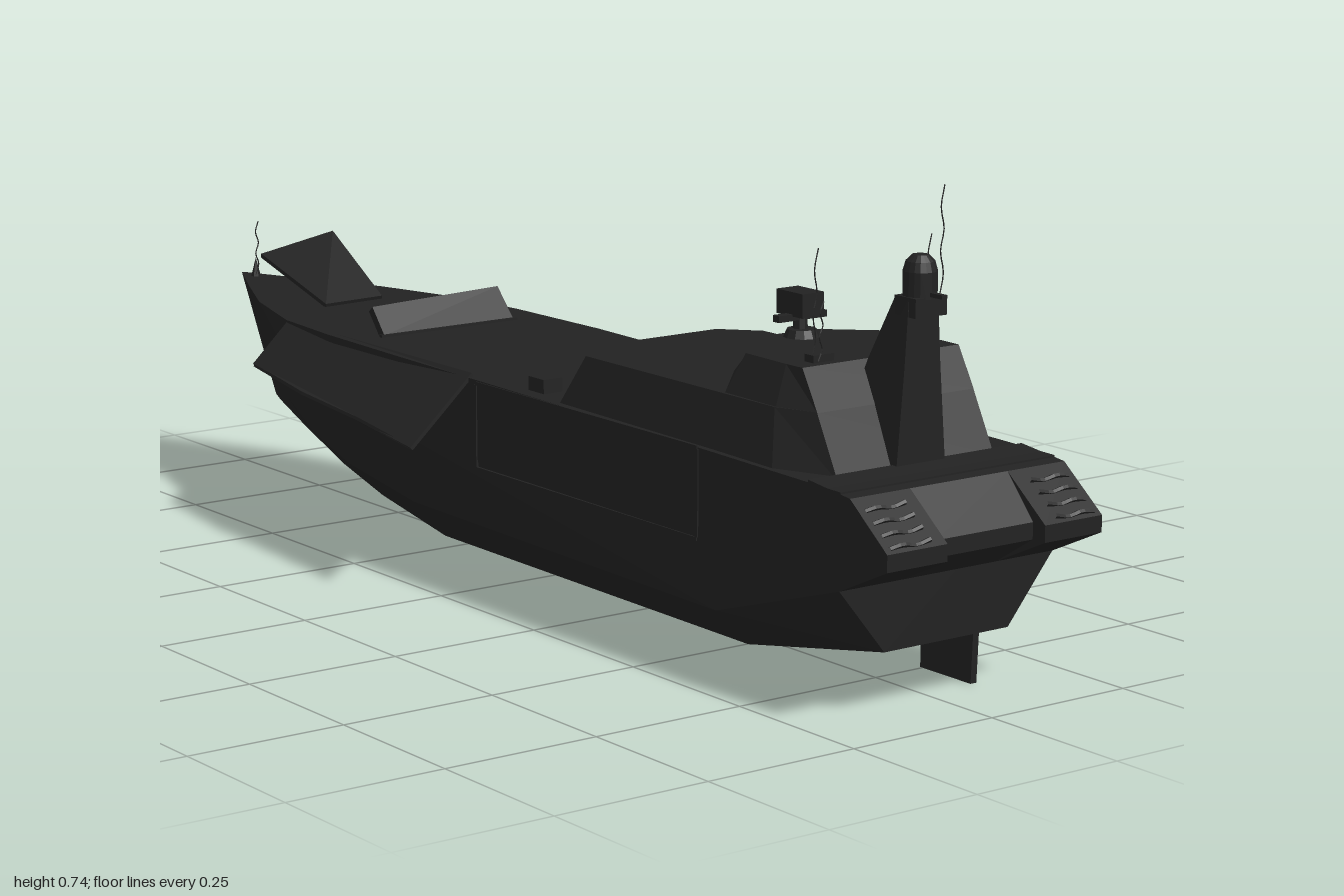
import * as THREE from 'three';

const hullBlack = new THREE.MeshStandardMaterial({ color: 0x222222, flatShading: true });
hullBlack.name = 'matte black';
const smoothBlack = hullBlack; // one colour throughout

const V = (a) => new THREE.Vector3(...a);

// Closed, hard-edged solid through equal-length rings of points
function loft(rings) {
  const tris = [];
  const n = rings[0].length;
  for (let r = 0; r < rings.length - 1; r++) {
    for (let i = 0; i < n; i++) {
      const j = (i + 1) % n, A = rings[r], B = rings[r + 1];
      tris.push([A[i], A[j], B[j]], [A[i], B[j], B[i]]);
    }
  }
  const first = rings[0], last = rings[rings.length - 1];
  for (let i = 1; i < n - 1; i++) {
    tris.push([first[0], first[i + 1], first[i]], [last[0], last[i], last[i + 1]]);
  }
  // Turn all faces outward
  const o = V(first[0]);
  let volume = 0;
  for (const t of tris) {
    const [a, b, c] = t.map((p) => V(p).sub(o));
    volume += a.dot(b.cross(c));
  }
  if (volume < 0) tris.forEach((t) => t.reverse());
  const g = new THREE.BufferGeometry();
  g.setAttribute('position', new THREE.Float32BufferAttribute(tris.flat(2), 3));
  g.computeVertexNormals();
  return g;
}

// Thin plate on four corners
function plate(corners, t = 0.008) {
  const [a, b, c, d] = corners.map(V);
  const nrm = c.clone().sub(a).cross(d.clone().sub(b)).normalize().multiplyScalar(t / 2);
  return loft([1, -1].map((s) => corners.map((p) => V(p).addScaledVector(nrm, s).toArray())));
}

// Mirrored plan outline at one height, listed as [half width, z] from front to back
function plan(y, pts) {
  return [...pts.map(([x, z]) => [x, y, z]), ...pts.slice().reverse().map(([x, z]) => [-x, y, z])];
}

// Profile in z and y, extruded across x
function crossPiece(profile, x0, x1) {
  const g = new THREE.ExtrudeGeometry(
    new THREE.Shape(profile.map(([z, y]) => new THREE.Vector2(z, y))),
    { depth: x1 - x0, bevelEnabled: false });
  return g.rotateY(-Math.PI / 2).translate(x1, 0, 0);
}

export function createModel() {
  const ship = new THREE.Group();
  ship.name = 'patrolShip';
  const add = (name, geometry, x = 0, y = 0, z = 0) => {
    const m = new THREE.Mesh(geometry, smoothBlack);
    m.name = name;
    m.position.set(x, y, z);
    ship.add(m);
    return m;
  };
  const box = (name, w, h, d, x, y, z) => add(name, new THREE.BoxGeometry(w, h, d), x, y, z);

  // Hull: deck edge, knuckle, chine and keel edge at each station
  const stations = [
    [[0.198, 0.33, 0.9], [0.198, 0.25, 0.9], [0.198, 0.19, 0.9], [0.115, 0.09, 0.9]],
    [[0.198, 0.335, 0.6], [0.198, 0.2, 0.6], [0.178, 0.095, 0.6], [0.118, 0.035, 0.6]],
    [[0.198, 0.342, -0.2], [0.197, 0.22, -0.2], [0.168, 0.1, -0.2], [0.108, 0.035, -0.2]],
    [[0.191, 0.342, -0.42], [0.183, 0.24, -0.42], [0.15, 0.12, -0.42], [0.085, 0.057, -0.42]],
    [[0.176, 0.341, -0.57], [0.162, 0.26, -0.57], [0.125, 0.143, -0.57], [0.065, 0.08, -0.57]],
    [[0.125, 0.341, -0.74], [0.108, 0.275, -0.74], [0.075, 0.175, -0.74], [0.035, 0.112, -0.74]],
    [[0.06, 0.341, -0.88], [0.05, 0.288, -0.87], [0.03, 0.2, -0.86], [0.012, 0.136, -0.86]],
    [[0.002, 0.342, -1], [0.002, 0.3, -0.977], [0.002, 0.22, -0.934], [0.002, 0.14, -0.89]],
  ];
  add('hull', loft(stations.map((s) => [...s, ...s.slice().reverse().map(([x, y, z]) => [-x, y, z])])));

  // Overhanging stern with a shallow middle recess and louvres on both sides
  const stern = (back) => [[0.83, 0.19], [0.9, 0.19], [back, 0.237], [back, 0.262], [0.92, 0.325], [0.83, 0.335]];
  add('sternMiddle', crossPiece(stern(0.975), -0.09, 0.09));
  for (const s of [-1, 1]) {
    add('sternSide', crossPiece(stern(1), Math.min(s * 0.09, s * 0.198), Math.max(s * 0.09, s * 0.198)));
    for (let i = 0; i < 4; i++) {
      const y = 0.268 + i * 0.014, z = 1 - (y - 0.262) * 1.27;
      const slat = new THREE.CatmullRomCurve3([[0.115, 0.003], [0.14, -0.002], [0.165, 0.002], [0.188, -0.001]]
        .map(([x, dy]) => new THREE.Vector3(s * x, y + dy, z)));
      add('sternLouvre', new THREE.TubeGeometry(slat, 8, 0.004, 5));
    }
  }

  // Two-tier faceted deckhouse
  add('deckhouse', loft([
    plan(0.325, [[0.13, 0.165], [0.19, 0.22], [0.19, 0.74], [0.145, 0.83]]),
    plan(0.415, [[0.12, 0.215], [0.17, 0.27], [0.17, 0.72], [0.145, 0.783]]),
  ]));
  add('upperCabin', loft([
    plan(0.414, [[0.058, 0.485], [0.165, 0.6], [0.168, 0.72], [0.145, 0.784]]),
    plan(0.473, [[0.05, 0.535], [0.143, 0.62], [0.146, 0.715], [0.145, 0.75]]),
  ]));

  // Mast and radar dome
  add('mast', loft([
    plan(0.33, [[0.05, 0.71], [0.045, 0.838]]),
    plan(0.475, [[0.036, 0.762], [0.033, 0.838]]),
    plan(0.572, [[0.024, 0.806], [0.027, 0.838]]),
  ]));
  box('mastPlatform', 0.058, 0.028, 0.045, 0.002, 0.559, 0.83);
  add('radarDome', new THREE.LatheGeometry(
    [[0, 0.57], [0.025, 0.57], [0.025, 0.608], [0.021, 0.622], [0.012, 0.631], [0, 0.633]]
      .map(([r, y]) => new THREE.Vector2(r, y)), 18), 0, 0, 0.83);

  // Sensor turret on the cabin roof
  add('turretBase', new THREE.CylinderGeometry(0.022, 0.028, 0.014, 12), 0, 0.478, 0.57);
  add('turretPost', new THREE.CylinderGeometry(0.009, 0.012, 0.04, 8), 0, 0.495, 0.567);
  box('turretHead', 0.04, 0.036, 0.06, 0, 0.523, 0.566);
  box('turretArm', 0.09, 0.01, 0.014, 0, 0.503, 0.566);

  // Roof boxes and whip antennas
  const whip = (name, x, y0, y1, z, sway) => {
    const pts = [0, 0.2, 0.4, 0.6, 0.8, 1].map((t, i) =>
      new THREE.Vector3(x + sway * t + 0.003 * (i % 2 ? 1 : -1), y0 + (y1 - y0) * t, z));
    add(name, new THREE.TubeGeometry(new THREE.CatmullRomCurve3(pts), 15, 0.0012, 4));
  };
  for (const s of [-1, 1]) {
    box('antennaBox', 0.038, 0.014, 0.02, s * 0.094, 0.477, 0.725);
    whip('tallAntenna', s * 0.105, 0.475, 0.635, 0.725, 0.004);
    whip('shortAntenna', s * 0.101, 0.475, 0.56, 0.735, 0.003);
    box('deckLocker', 0.035, 0.022, 0.04, s * 0.155, 0.35, 0.145);
  }
  whip('mastAntenna', 0, 0.58, 0.735, 0.875, 0);
  add('mastAntennaArm', new THREE.BoxGeometry(0.006, 0.006, 0.05), 0, 0.577, 0.855);

  // Jackstaff at the bow
  add('jackstaffFoot', new THREE.ConeGeometry(0.009, 0.035, 6), 0, 0.357, -0.955);
  whip('jackstaff', 0, 0.345, 0.44, -0.95, 0);

  // Raised hatches on the foredeck
  add('bowHatch', plate([[-0.06, 0.343, -0.63], [0.06, 0.343, -0.64], [0.06, 0.435, -0.795], [-0.065, 0.402, -0.83]]));
  add('foredeckHatch', plate([[-0.128, 0.34, -0.35], [0.128, 0.34, -0.35], [0.128, 0.388, -0.395], [-0.128, 0.382, -0.385]], 0.014));
  box('foredeckHatchRim', 0.27, 0.006, 0.008, 0, 0.343, -0.345);

  // Swung-out side doors
  add('leftDoor', plate([[0.2, 0.345, 0.57], [0.3, 0.345, 0.015], [0.257, 0.224, 0.02], [0.236, 0.224, 0.57]], 0.006));
  add('rightDoor', plate([[-0.17, 0.338, -0.57], [-0.19, 0.345, 0], [-0.305, 0.241, 0], [-0.24, 0.272, -0.57]], 0.006));
  add('rightDoorBend', plate([[-0.24, 0.272, -0.57], [-0.272, 0.262, -0.37], [-0.288, 0.255, -0.18], [-0.304, 0.242, 0]], 0.005));

  // Door frames along the hull sides
  for (const [y, h, z, d] of [[0.335, 0.006, 0.3, 0.56], [0.2, 0.006, 0.3, 0.56], [0.268, 0.13, 0.02, 0.006], [0.268, 0.13, 0.58, 0.006]]) {
    box('doorFrame', 0.004, h, d, 0.198, y, z);
    box('doorFrame', 0.004, h, d, -0.198, y, z);
  }

  // Rudder
  add('rudder', crossPiece([[0.745, 0], [0.855, 0], [0.86, 0.11], [0.745, 0.11]], 0.087, 0.098));

  ship.position.x = 0.002;
  return ship;
}
